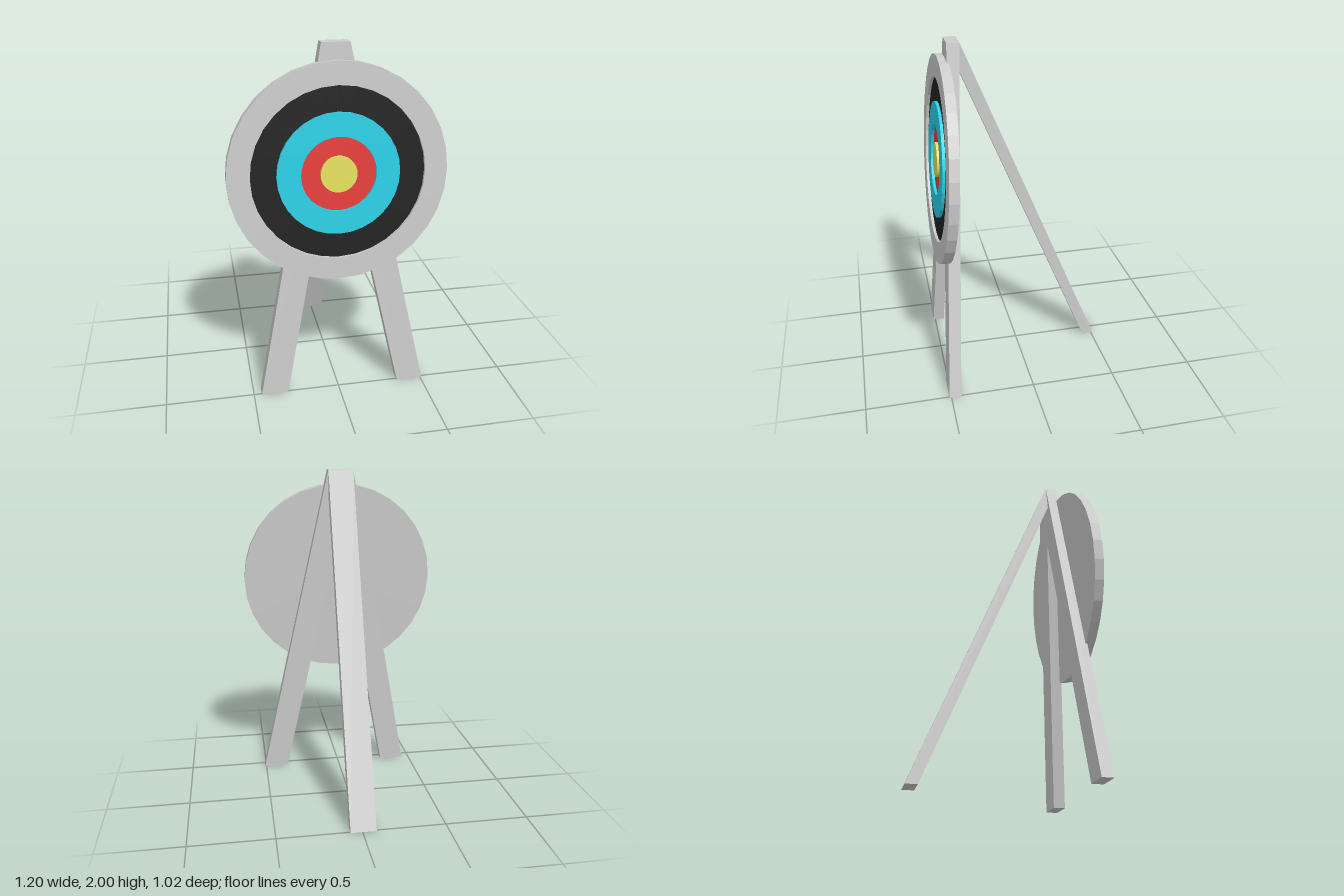
import * as THREE from 'three';

const HEIGHT = 2;
const TILT = 0.0626; // lean of the front legs and the board

const paint = (color) => new THREE.MeshStandardMaterial({ color, flatShading: true });

// Sheared plank with level ends, running from a foot to the shared top
function leg(name, footX, footZ, topX, topZ, material) {
  const geo = new THREE.BoxGeometry(0.154, HEIGHT, 0.07);
  geo.translate(0, HEIGHT / 2, 0);
  const p = geo.attributes.position;
  for (let i = 0; i < p.count; i++) {
    const t = p.getY(i) / HEIGHT;
    p.setX(i, p.getX(i) + THREE.MathUtils.lerp(footX, topX, t));
    p.setZ(i, p.getZ(i) + THREE.MathUtils.lerp(footZ, topZ, t));
  }
  geo.computeVertexNormals();
  const mesh = new THREE.Mesh(geo, material);
  mesh.name = name;
  return mesh;
}

// Turned part of the board: profile of [radius, depth], facing +z
function turned(name, profile, color) {
  const points = profile.map(([r, d]) => new THREE.Vector2(r, d));
  const geo = new THREE.LatheGeometry(points, 32);
  geo.rotateX(Math.PI / 2);
  const mesh = new THREE.Mesh(geo, paint(color));
  mesh.name = name;
  return mesh;
}

export function createModel() {
  const model = new THREE.Group();
  model.name = 'archeryTarget';

  // Tripod stand
  const stand = new THREE.Group();
  stand.name = 'stand';
  const wood = paint(0xcccccc);
  const topX = -0.006, topZ = 0.355;
  stand.add(
    leg('frontLegRight', -0.378, 0.477, topX, topZ, wood),
    leg('frontLegLeft', 0.432, 0.477, topX, topZ, wood),
    leg('backLeg', topX, -0.476, topX, topZ, wood),
  );

  // Round board with alternately sunken and raised rings
  const high = 0.055, low = 0.038;
  const board = new THREE.Group();
  board.name = 'board';
  board.add(
    turned('boardRim', [[0, 0], [0.6, 0], [0.6, high], [0.475, high], [0.475, low]], 0xcccccc),
    turned('blackRing', [[0.475, low], [0.335, low]], 0x222222),
    turned('blueRing', [[0.335, low], [0.335, high], [0.205, high], [0.205, low]], 0x2bcfe6),
    turned('redRing', [[0.205, low], [0.1, low]], 0xe53e3b),
    turned('yellowCentre', [[0.1, low], [0.1, high], [0, high]], 0xe4e05e),
  );
  board.rotation.x = -TILT;
  board.position.set(0, 1.312, 0.42);

  model.add(stand, board);
  return model;
}
